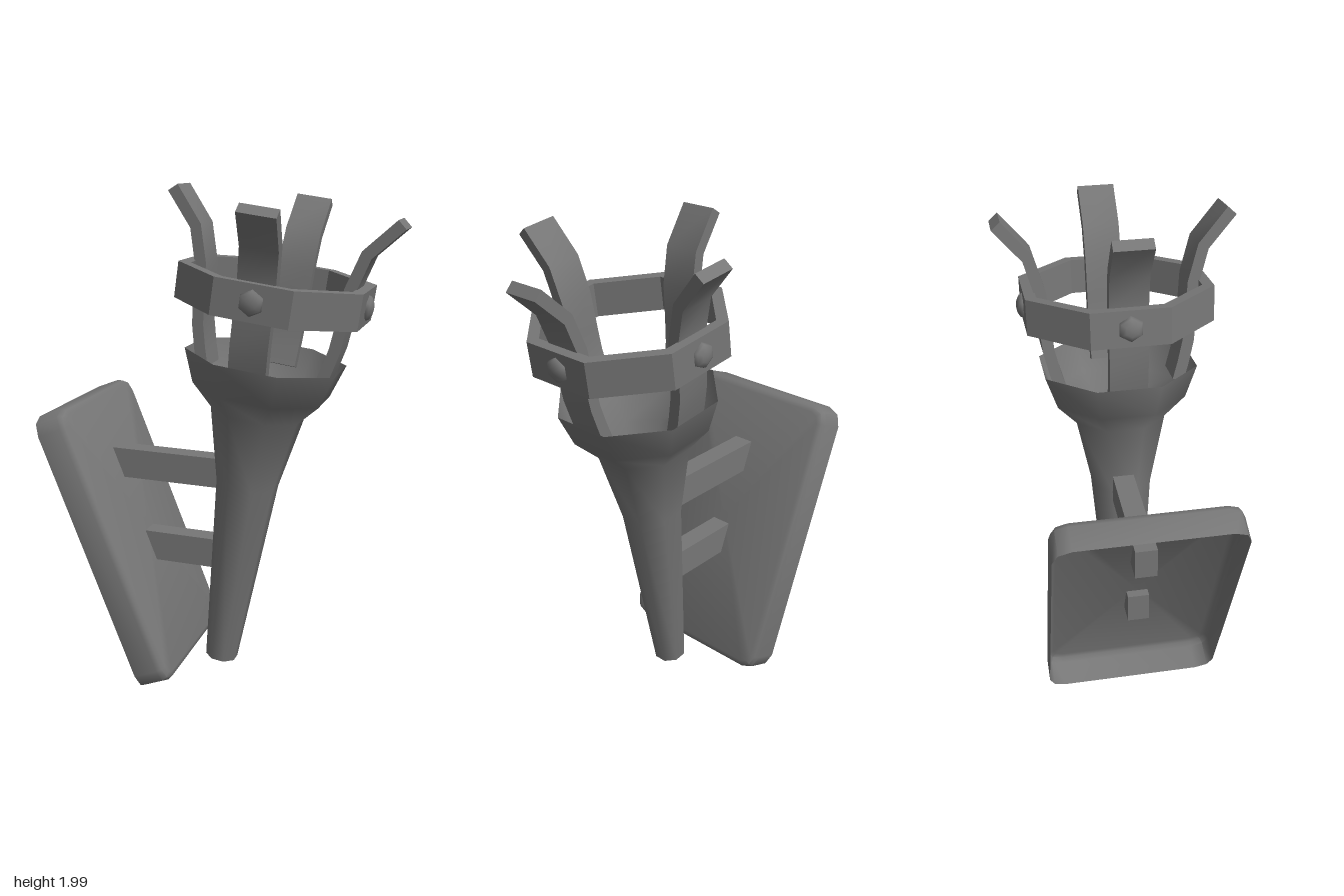
import * as THREE from 'three';
import { toCreasedNormals } from 'three/addons/utils/BufferGeometryUtils.js';

const iron = new THREE.MeshStandardMaterial({ color: 0x767676, side: THREE.DoubleSide });
iron.name = 'iron grey';

const OCT = Math.cos(Math.PI / 8); // apothem / radius of an octagon

function add(parent, name, geometry) {
  const mesh = new THREE.Mesh(geometry, iron);
  mesh.name = name;
  parent.add(mesh);
  return mesh;
}

// Octagon with flats facing the axes
function octagon(apothem) {
  return Array.from({ length: 8 }, (_, i) => {
    const a = Math.PI / 8 + (i * Math.PI) / 4;
    return new THREE.Vector2(Math.cos(a), Math.sin(a)).multiplyScalar(apothem / OCT);
  });
}

// Open-backed plate: rounded-rectangle loops along x, closed at the front
function plateGeometry(halfLength, halfWidth, radius, sections) {
  const pos = [], index = [], n = 12;
  for (const [x, inset] of sections) {
    for (let k = 0; k < 4; k++) {
      const sz = k === 0 || k === 3 ? 1 : -1, sy = k < 2 ? 1 : -1;
      for (let j = 0; j < 3; j++) {
        const a = (k * Math.PI) / 2 + (j * Math.PI) / 4, r = radius - inset;
        pos.push(x, sy * (halfLength - radius) + r * Math.sin(a),
          -(sz * (halfWidth - radius) + r * Math.cos(a)));
      }
    }
  }
  const last = sections.length - 1, centre = sections.length * n;
  pos.push(sections[last][0], 0, 0);
  for (let i = 0; i < n; i++) {
    const j = (i + 1) % n;
    for (let s = 0; s < last; s++) {
      const a = s * n, b = a + n;
      index.push(a + i, a + j, b + j, a + i, b + j, b + i);
    }
    index.push(centre, last * n + i, last * n + j);
  }
  const g = new THREE.BufferGeometry();
  g.setAttribute('position', new THREE.Float32BufferAttribute(pos, 3));
  g.setIndex(index);
  return toCreasedNormals(g, 0.85);
}

// Flat bar of constant thickness following a path in the xy plane
function barGeometry(path, thickness, width) {
  const pts = path.map(p => new THREE.Vector2(...p));
  const left = [], right = [];
  pts.forEach((p, i) => {
    const before = pts[Math.max(i - 1, 0)], after = pts[Math.min(i + 1, pts.length - 1)];
    const d = after.clone().sub(before).normalize();
    const off = new THREE.Vector2(d.y, -d.x).multiplyScalar(thickness / 2);
    right.push(p.clone().add(off));
    left.unshift(p.clone().sub(off));
  });
  const g = new THREE.ExtrudeGeometry(new THREE.Shape([...right, ...left]),
    { depth: width, bevelEnabled: false });
  g.translate(0, 0, -width / 2);
  return toCreasedNormals(g, 0.7);
}

export function createModel() {
  const model = new THREE.Group();
  model.name = 'wallTorchHolder';

  // Tilted mounting plate
  const plate = add(model, 'wallPlate', plateGeometry(0.59, 0.355, 0.07,
    [[-0.064, 0], [0.036, 0], [0.056, 0.01], [0.064, 0.03]]));
  plate.position.set(-0.415, 0.582, -0.013);
  plate.rotation.z = 0.373;

  // Struts between plate and torch: left end, right end, height
  for (const [x0, x1, y] of [[-0.53, 0.02, 0.868], [-0.385, -0.01, 0.52]]) {
    const strut = add(model, 'strut', new THREE.BoxGeometry(x1 - x0, 0.122, 0.085));
    strut.position.set((x0 + x1) / 2, y, -0.008);
    strut.rotation.z = -0.025;
  }

  // Everything on the leaning torch axis
  const torch = new THREE.Group();
  torch.name = 'torch';
  torch.position.set(-0.025, 0.05, 0);
  torch.rotation.z = -0.141;
  model.add(torch);

  // Eight-sided handle widening to an open cup
  const profile = [[0.062, 0], [0.117, 0.784], [0.175, 1.085], [0.253, 1.176], [0.296, 1.308]]
    .map(([r, y]) => new THREE.Vector2(r / OCT, y));
  add(torch, 'handleAndCup', new THREE.LatheGeometry(profile, 8, Math.PI / 8));
  const cap = new THREE.CircleGeometry(0.062 / OCT, 8, Math.PI / 8);
  add(torch, 'handleEnd', cap.rotateX(Math.PI / 2));

  // Octagonal band
  const bandShape = new THREE.Shape(octagon(0.355));
  bandShape.holes.push(new THREE.Path(octagon(0.312)));
  const band = new THREE.ExtrudeGeometry(bandShape, { depth: 0.138, bevelEnabled: false });
  add(torch, 'band', band.rotateX(-Math.PI / 2)).position.y = 1.498;

  // Four flared prongs, each with a stud on the band
  const prongGeometry = barGeometry([[0.232, 1.235], [0.252, 1.307], [0.272, 1.396],
    [0.281, 1.488], [0.292, 1.63], [0.33, 1.766], [0.438, 1.893]], 0.045, 0.145);
  const studGeometry = new THREE.SphereGeometry(0.05, 6, 6).rotateZ(-Math.PI / 2).scale(0.55, 1, 1);
  for (let i = 0; i < 4; i++) {
    const side = new THREE.Group();
    side.name = 'prongAndStud';
    side.rotation.y = (i * Math.PI) / 2;
    torch.add(side);
    add(side, 'prong', prongGeometry);
    add(side, 'stud', studGeometry).position.set(0.353, 1.567, 0);
  }
  return model;
}
